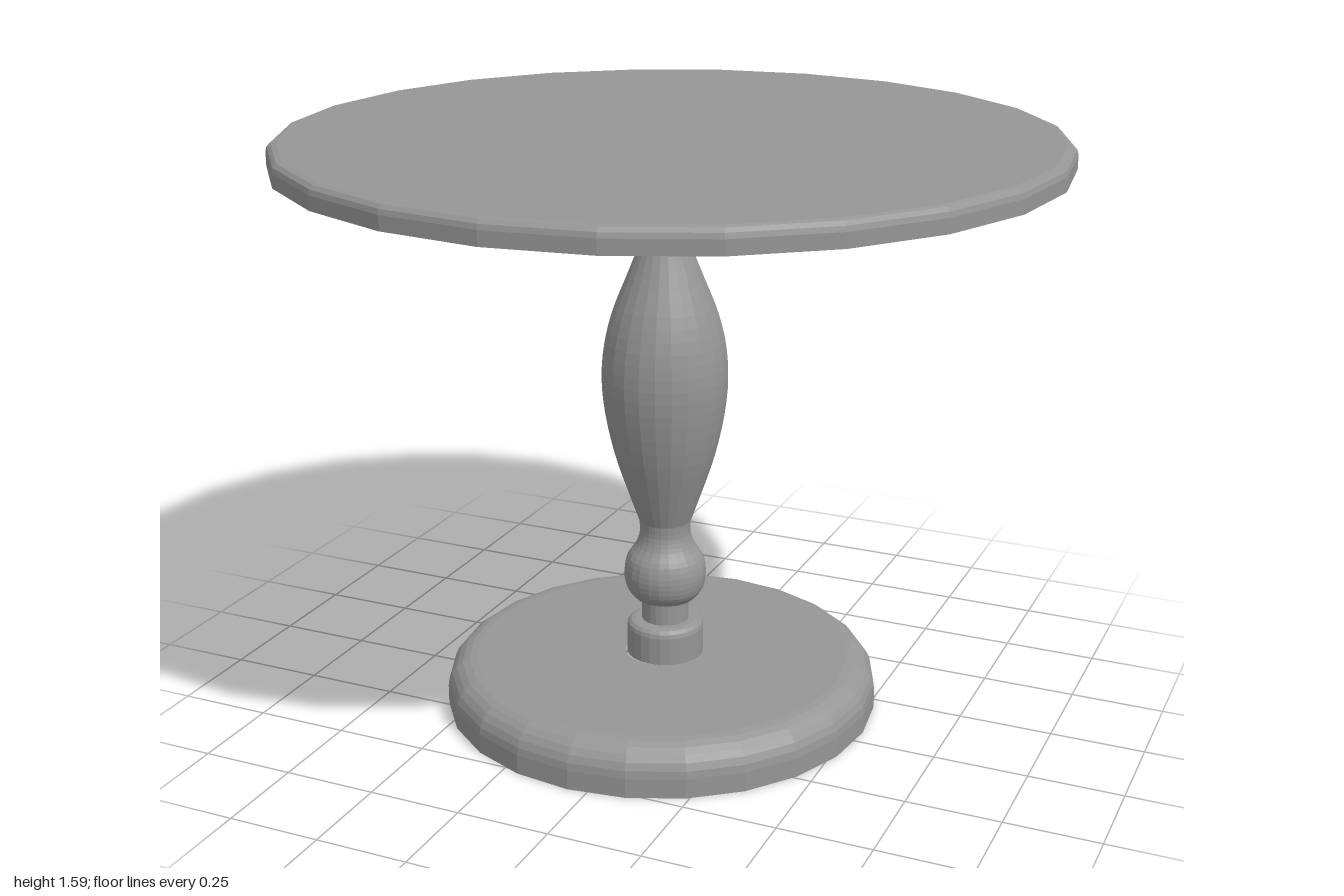
import * as THREE from 'three';

const SEGMENTS = 24;
const material = new THREE.MeshStandardMaterial({
  color: 0x969696, flatShading: true, side: THREE.DoubleSide,
});

// Turned part from [radius, height] points, bottom to top
function turned(name, points, x = 0, z = 0) {
  const profile = points.map(([r, y]) => new THREE.Vector2(r, y));
  const mesh = new THREE.Mesh(new THREE.LatheGeometry(profile, SEGMENTS), material);
  mesh.name = name;
  mesh.position.set(x, 0, z);
  return mesh;
}

// Smooth curve through a few profile points
function smooth(points, divisions) {
  const curve = new THREE.SplineCurve(points.map(([r, y]) => new THREE.Vector2(r, y)));
  return curve.getPoints(divisions).map((p) => [p.x, p.y]);
}

// Quarter-round edge ending at the given outer radius and top height
function roundedEdge(radius, top, size, steps) {
  return Array.from({ length: steps + 1 }, (_, i) => {
    const a = (i / steps) * Math.PI / 2;
    return [radius - size * (1 - Math.cos(a)), top - size * (1 - Math.sin(a))];
  });
}

export function createModel() {
  const model = new THREE.Group();
  model.name = 'pedestalTable';
  const cx = -0.045, cz = -0.06; // pedestal sits slightly off centre

  // Closed round top with a softened upper edge
  model.add(turned('tableTop', [
    [0, 1.527], [1, 1.527], ...roundedEdge(1, 1.588, 0.025, 3), [0, 1.588],
  ]));

  // Hollow base, open below, with a hole under the collar
  model.add(turned('base', [
    [0.59, 0], ...roundedEdge(0.59, 0.133, 0.08, 6), [0.1, 0.133],
  ], -0.053, -0.053));

  // Turned column, from the collar up
  model.add(turned('collar', [
    [0.105, 0.133], ...roundedEdge(0.105, 0.232, 0.022, 3), [0.064, 0.232],
  ], cx, cz));
  model.add(turned('neck', [[0.064, 0.232], [0.064, 0.297]], cx, cz));
  model.add(turned('knob', [[0.064, 0.297], ...smooth([
    [0.082, 0.297], [0.104, 0.325], [0.112, 0.37], [0.103, 0.415],
    [0.08, 0.45], [0.069, 0.485], [0.07, 0.52],
  ], 18)], cx, cz));
  model.add(turned('baluster', smooth([
    [0.07, 0.52], [0.1, 0.605], [0.134, 0.71], [0.158, 0.82], [0.168, 0.92],
    [0.161, 1.015], [0.138, 1.105], [0.1, 1.2], [0.065, 1.29], [0.039, 1.38],
    [0.026, 1.46], [0.022, 1.527],
  ], 32), cx, cz));

  return model;
}
